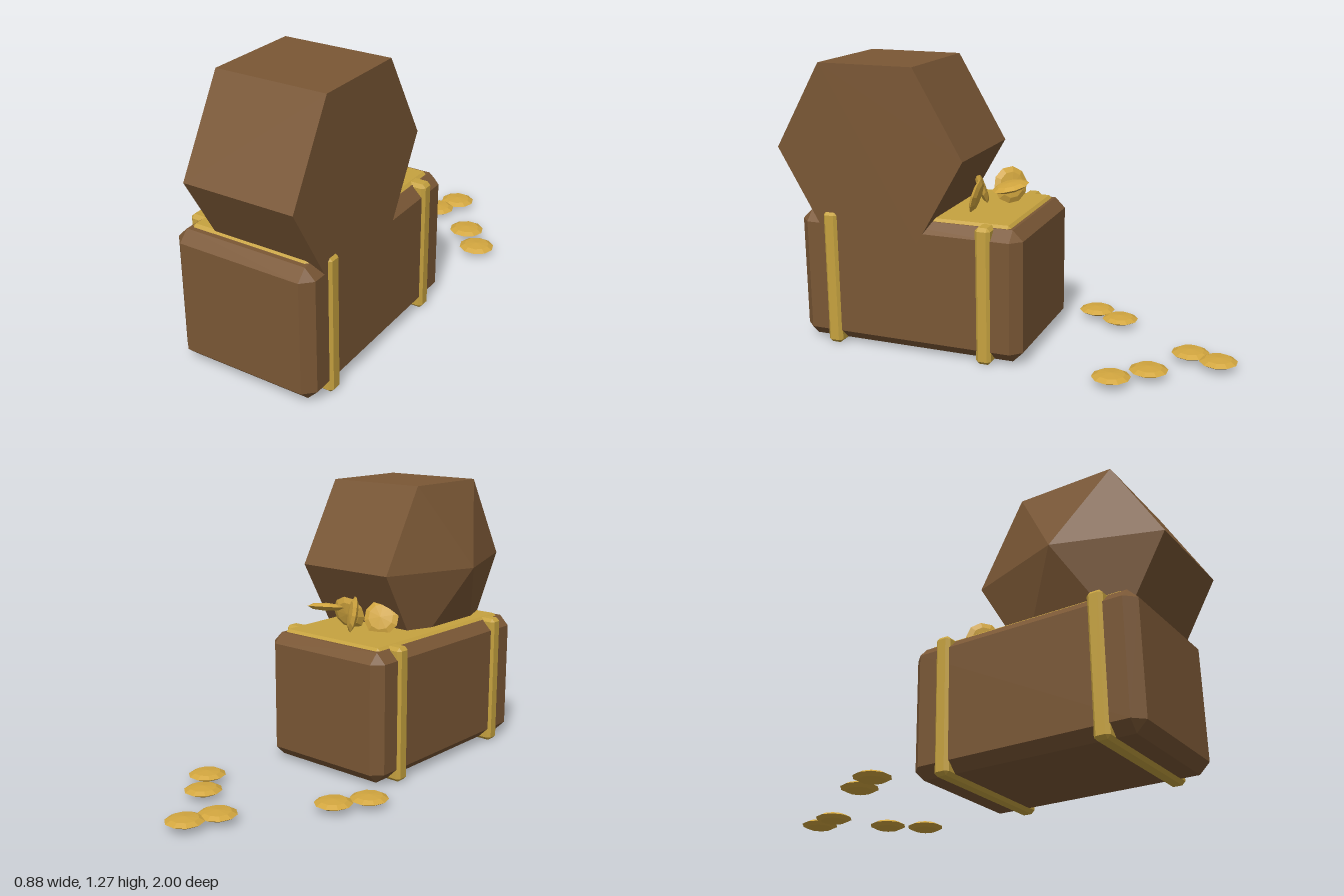
import * as THREE from 'three';
import { ConvexGeometry } from 'three/addons/geometries/ConvexGeometry.js';

const mat = (name, color) => {
  const m = new THREE.MeshStandardMaterial({ color, flatShading: true });
  m.name = name;
  return m;
};

// Box between two corners with all edges chamfered by b
function chamferBox([x0, y0, z0], [x1, y1, z1], b) {
  const c = new THREE.Vector3((x0 + x1) / 2, (y0 + y1) / 2, (z0 + z1) / 2);
  const h = [(x1 - x0) / 2, (y1 - y0) / 2, (z1 - z0) / 2];
  const pts = [];
  for (const sx of [-1, 1]) for (const sy of [-1, 1]) for (const sz of [-1, 1]) {
    for (let axis = 0; axis < 3; axis++) {
      const d = h.map((v, i) => (i === axis ? v : v - b));
      pts.push(new THREE.Vector3(sx * d[0], sy * d[1], sz * d[2]).add(c));
    }
  }
  return new ConvexGeometry(pts);
}

export function createModel() {
  const group = new THREE.Group();
  const wood = mat('wood', 0x7a5735);
  const gold = mat('gold trim', 0xc6a23f);
  const coinGold = mat('coin gold', 0xd2a63f);

  const add = (name, geometry, material) => {
    const mesh = new THREE.Mesh(geometry, material);
    mesh.name = name;
    group.add(mesh);
    return mesh;
  };

  // Chest body
  add('chestBody', chamferBox([-0.293, 0.017, -0.13], [0.363, 0.607, 0.918], 0.046), wood);

  // Open lid: hexagonal prism with a pointed left end
  const lidPoints = [new THREE.Vector3(-0.293, 0.89, 0.56)];
  for (let i = 0; i < 6; i++) {
    const a = (i * Math.PI) / 3;
    for (const x of [-0.13, 0.363]) {
      lidPoints.push(new THREE.Vector3(x, 0.89 + 0.44 * Math.sin(a), 0.56 + 0.44 * Math.cos(a)));
    }
  }
  add('lid', new ConvexGeometry(lidPoints), wood);

  // Treasure filling the top
  add('treasureFill', chamferBox([-0.242, 0.56, -0.07], [0.312, 0.619, 0.85], 0.012), gold);

  // Straps wrapped round the body
  for (const z of [0.035, 0.755]) {
    add('strap', chamferBox([-0.305, 0.003, z - 0.035], [0.375, 0.617, z + 0.035], 0.015), gold);
  }

  // Coins: flattened low-poly discs, given by centre and facing direction
  const coinGeometry = new THREE.SphereGeometry(0.083, 10, 4).scale(1, 0.22, 1);
  const up = new THREE.Vector3(0, 1, 0);
  const coin = (name, position, facing) => {
    const mesh = add(name, coinGeometry, coinGold);
    mesh.position.set(...position);
    mesh.quaternion.setFromUnitVectors(up, new THREE.Vector3(...facing).normalize());
  };
  const scattered = [[0.05, -0.92], [0, -0.79], [0.235, -0.66], [0.355, -0.53], [-0.28, -0.4], [-0.36, -0.265]];
  for (const [x, z] of scattered) coin('groundCoin', [x, 0.035, z], [0, 1, 0]);

  const heaped = [
    [[0.12, 0.74, 0], [0.1, 1, 0.2]],
    [[0, 0.715, 0.045], [0.66, 0.2, -0.75]],
    [[0.12, 0.685, 0.16], [-0.15, -0.3, -1]],
    [[-0.04, 0.68, 0.2], [-0.35, 0.35, -0.85]],
  ];
  for (const [position, facing] of heaped) coin('heapedCoin', position, facing);

  return group;
}
